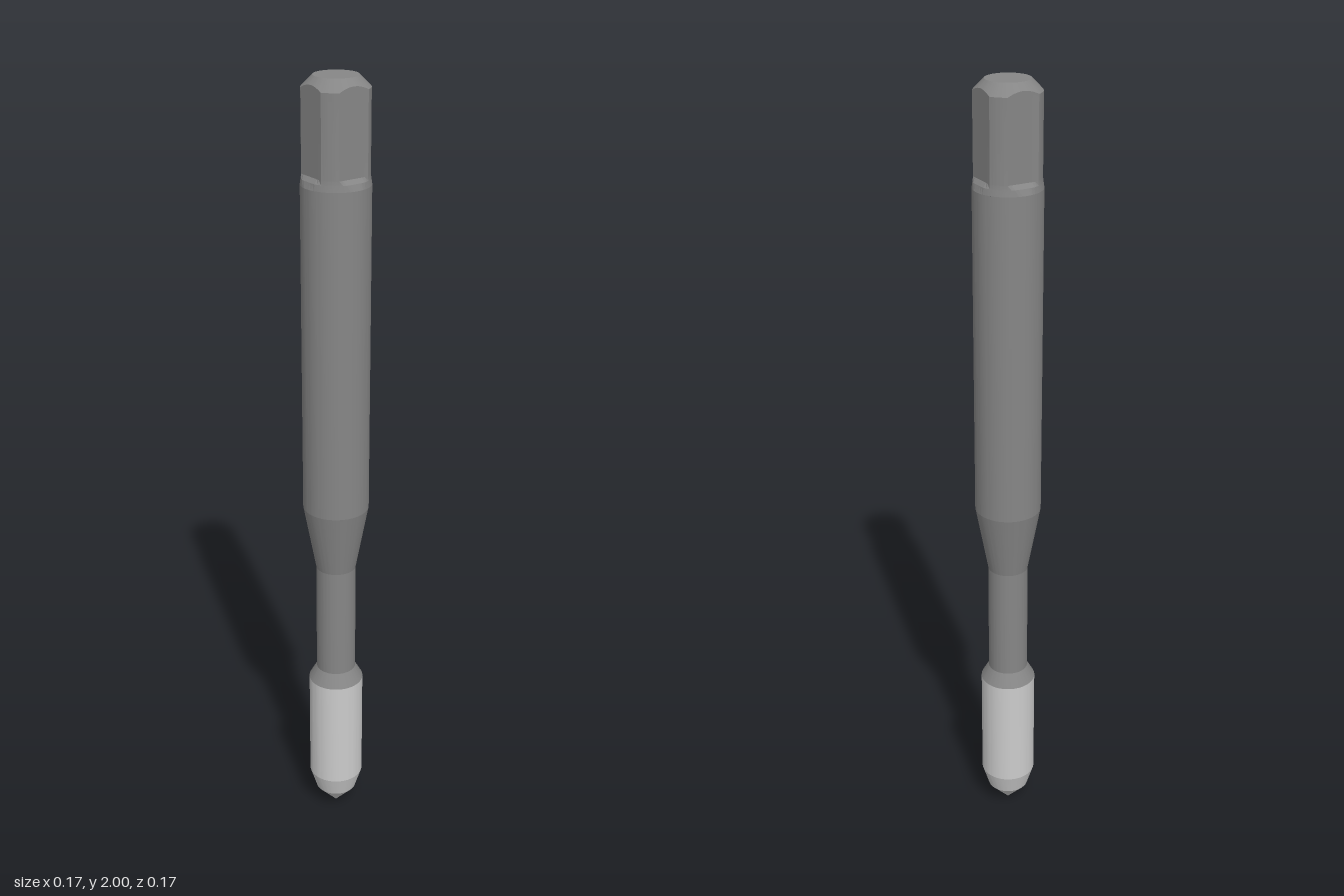
import * as THREE from 'three';
import { toCreasedNormals } from 'three/addons/utils/BufferGeometryUtils.js';

const CREASE = 0.12;
const SHANK_R = 0.083;   // shank radius
const FLAT = 0.069;      // half width across the drive flats
const CORNER_R = 0.0795; // radius of the rounded drive corners
const TOP_R = 0.053;     // flat disc on top of the drive

const lightMetal = new THREE.MeshStandardMaterial({ color: 0xcccccc });
const darkMetal = new THREE.MeshStandardMaterial({ color: 0x868686 });

function part(name, geometry, material) {
  const mesh = new THREE.Mesh(toCreasedNormals(geometry, CREASE), material);
  mesh.name = name;
  return mesh;
}

// Turned part from [radius, height] pairs, bottom to top
function turned(name, profile, material) {
  const points = profile.map(([r, y]) => new THREE.Vector2(r, y));
  return part(name, new THREE.LatheGeometry(points, 64), material);
}

// Square drive: a cylinder with four flats, sloped run-outs and a conical top chamfer
function squareDriveGeometry() {
  const half = Math.acos(FLAT / CORNER_R);
  const angles = [];
  for (let q = 0; q < 4; q++) {
    const mid = q * Math.PI / 2;
    for (let i = 0; i < 10; i++) angles.push(mid - half + 2 * half * i / 10);
    for (let i = 0; i < 5; i++) angles.push(mid + half + (Math.PI / 2 - 2 * half) * i / 5);
  }
  const section = (a, flat, round) =>
    Math.min(round, flat / Math.max(Math.abs(Math.cos(a)), Math.abs(Math.sin(a))));

  // Each column runs from the shank shoulder up to the centre of the top
  const columns = angles.map((a) => {
    const r = section(a, FLAT, CORNER_R);
    return [
      [SHANK_R, 1.755],
      [section(a, 0.0775, 0.0805), 1.77],
      [r, 1.78],
      [r, 2 - (r - TOP_R)],
      [TOP_R, 2],
      [0, 2],
    ];
  });

  const rows = columns[0].length;
  const positions = [];
  const index = [];
  columns.forEach((column, i) => {
    for (const [r, y] of column) {
      positions.push(r * Math.sin(angles[i]), y, r * Math.cos(angles[i]));
    }
    const next = (i + 1) % columns.length;
    for (let j = 0; j < rows - 1; j++) {
      const a = i * rows + j;
      const b = next * rows + j;
      index.push(a, b, a + 1);
      if (j < rows - 2) index.push(b, b + 1, a + 1);
    }
  });
  const geometry = new THREE.BufferGeometry();
  geometry.setAttribute('position', new THREE.Float32BufferAttribute(positions, 3));
  geometry.setIndex(index);
  return geometry;
}

export function createModel() {
  const model = new THREE.Group();
  model.name = 'threadTap';

  // Cutting head with pointed tip and tapered lead
  model.add(turned('cuttingHead', [
    [0, 0], [0.054, 0.06], [0.071, 0.115], [0.071, 0.417],
  ], lightMetal));

  // Head shoulder, slim neck, flare and main shank
  model.add(turned('shank', [
    [0.071, 0.417], [0.051, 0.453], [0.051, 0.755], [SHANK_R, 0.93], [SHANK_R, 1.755],
  ], darkMetal));

  model.add(part('squareDrive', squareDriveGeometry(), darkMetal));
  return model;
}
